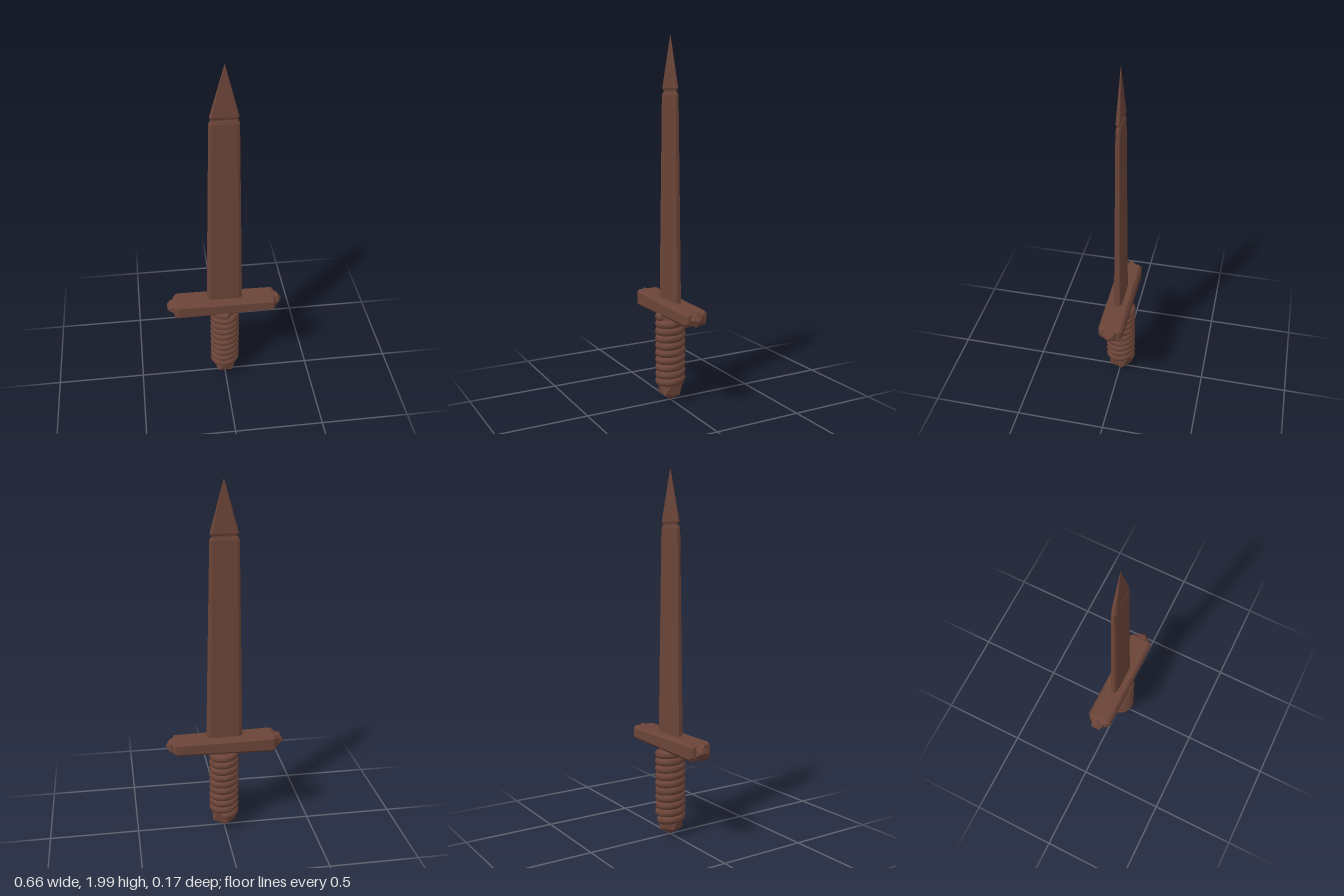
import * as THREE from 'three';

// Loft of bevelled rectangles stacked along y.
// Each section: [y, half width x, half depth z, bevel x, bevel z, x offset]
function loft(sections) {
  const rings = sections.map(([y, a, b, ca, cb, o = 0]) => [
    [a, b - cb], [a - ca, b], [-a + ca, b], [-a, b - cb],
    [-a, -b + cb], [-a + ca, -b], [a - ca, -b], [a, -b + cb],
  ].map(([x, z]) => [x + o, y, z]));
  const pos = [];
  const tri = (...pts) => pts.forEach((p) => pos.push(...p));
  const n = 8;
  for (let r = 0; r < rings.length - 1; r++) {
    const p = rings[r], q = rings[r + 1];
    for (let i = 0; i < n; i++) {
      const j = (i + 1) % n;
      tri(p[i], q[i], p[j]);
      tri(p[j], q[i], q[j]);
    }
  }
  const first = rings[0], last = rings[rings.length - 1];
  for (let i = 1; i < n - 1; i++) {
    tri(first[0], first[i], first[i + 1]);
    tri(last[0], last[i + 1], last[i]);
  }
  const g = new THREE.BufferGeometry();
  g.setAttribute('position', new THREE.Float32BufferAttribute(pos, 3));
  g.computeVertexNormals();
  return g;
}

// Rising coil around the y axis
class Coil extends THREE.Curve {
  constructor(radius, y0, y1, turns) {
    super();
    Object.assign(this, { radius, y0, y1, turns });
  }
  getPoint(t, target = new THREE.Vector3()) {
    const a = Math.PI + t * this.turns * Math.PI * 2;
    return target.set(
      Math.sin(a) * this.radius,
      this.y0 + (this.y1 - this.y0) * t,
      Math.cos(a) * this.radius
    );
  }
}

export function createModel() {
  const model = new THREE.Group();
  const wood = new THREE.MeshStandardMaterial({ color: 0x6b4438 });
  wood.name = 'brown wood';

  const add = (name, geometry, x = 0, y = 0, z = 0) => {
    const mesh = new THREE.Mesh(geometry, wood);
    mesh.name = name;
    mesh.position.set(x, y, z);
    model.add(mesh);
    return mesh;
  };

  // Tapering blade with bevelled edges
  add('blade', loft([
    [0.57, 0.1, 0.023, 0.02, 0.011, -0.002],
    [0.6, 0.1, 0.023, 0.02, 0.011, -0.002],
    [1.69, 0.078, 0.014, 0.012, 0.006, -0.003],
    [1.708, 0.071, 0.01, 0.012, 0.006, -0.003],
  ]));

  // Pointed tip, separated from the blade by a fine groove
  add('bladeNeck', new THREE.BoxGeometry(0.12, 0.04, 0.012), -0.002, 1.71, 0);
  add('bladeTip', loft([
    [1.715, 0.07, 0.009, 0.01, 0.004, -0.002],
    [1.727, 0.075, 0.013, 0.01, 0.006, -0.002],
    [2.0, 0.001, 0.001, 0.0003, 0.0003],
  ]));

  // Crossguard, a little thicker on its right, lofted along x
  const guard = loft([
    [-0.295, 0.034, 0.052, 0.012, 0.012],
    [-0.275, 0.048, 0.068, 0.016, 0.014, 0.002],
    [0.275, 0.039, 0.068, 0.014, 0.014],
    [0.292, 0.027, 0.052, 0.01, 0.012],
  ]).rotateZ(-Math.PI / 2);
  add('crossguard', guard, 0, 0.54, 0);

  // Faceted studs at the ends of the guard
  const upright = -Math.atan((1 + Math.sqrt(5)) / 2);
  add('rightStud', new THREE.IcosahedronGeometry(0.049, 0), -0.29, 0.54, 0);
  add('leftStud', new THREE.IcosahedronGeometry(0.046, 0)
    .rotateX(upright).rotateZ(-Math.PI / 2), 0.284, 0.54, 0);

  // Grip core with a cord coiled around it
  add('gripCore', new THREE.CylinderGeometry(0.063, 0.063, 0.42, 24), 0, 0.3, 0);
  add('gripCord', new THREE.TubeGeometry(new Coil(0.06, 0.1, 0.49, 9.5), 300, 0.025, 10, false));
  for (const [name, y, z] of [['cordStart', 0.1, -0.06], ['cordEnd', 0.49, 0.06]]) {
    add(name, new THREE.SphereGeometry(0.025, 10, 8), 0, y, z);
  }

  // Faceted pommel standing on one vertex
  add('pommel', new THREE.IcosahedronGeometry(0.078, 0).rotateX(upright), 0, 0.084, 0);

  return model;
}
